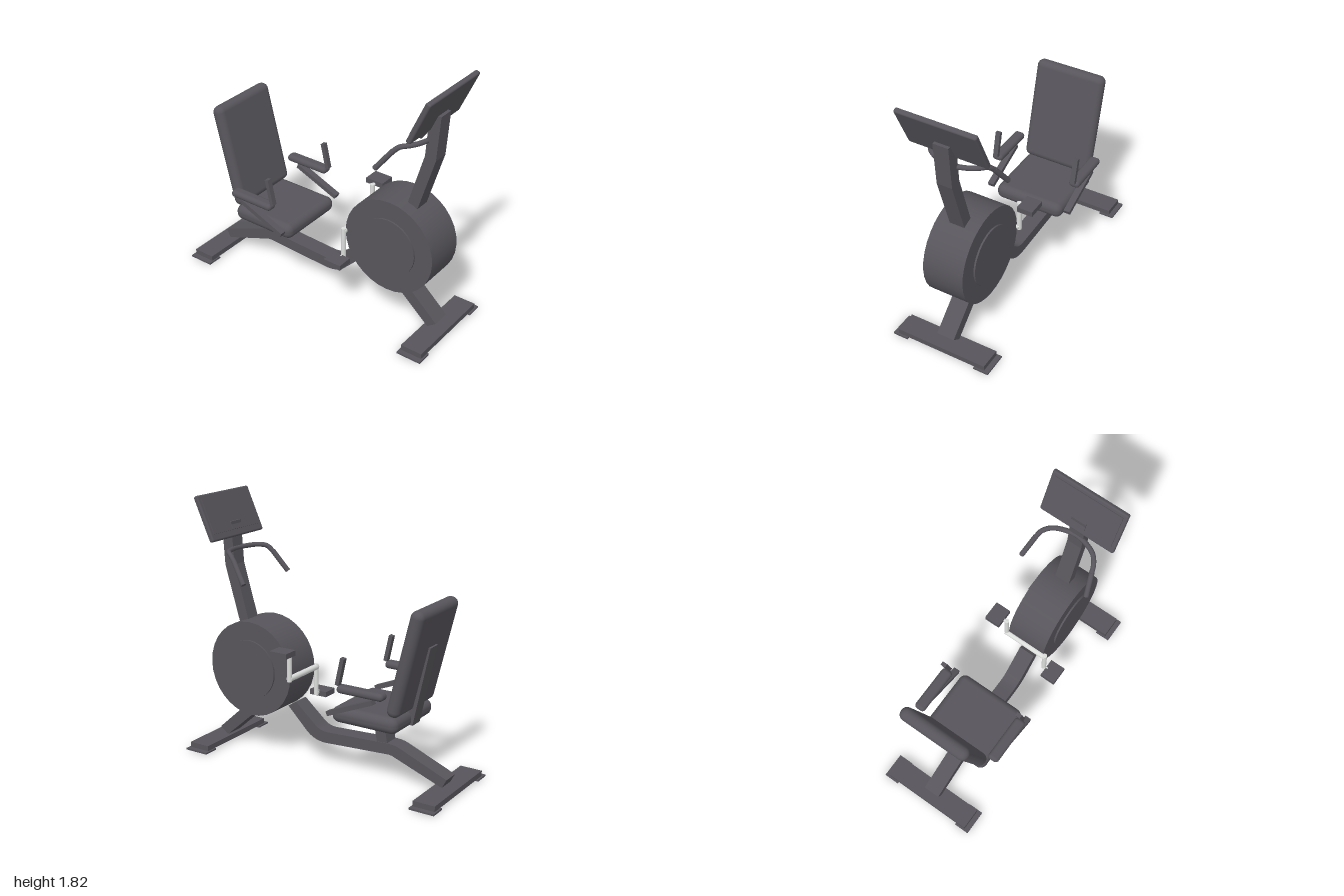
import * as THREE from 'three';
import { RoundedBoxGeometry } from 'three/addons/geometries/RoundedBoxGeometry.js';

export function createModel() {
  const model = new THREE.Group();
  const charcoal = new THREE.MeshStandardMaterial({ color: 0x57555b });
  charcoal.name = 'charcoal';
  const steel = new THREE.MeshStandardMaterial({ color: 0xdcdedc });
  steel.name = 'steel';

  const add = (name, geometry, x = 0, y = 0, z = 0, tilt = 0, material = charcoal) => {
    const mesh = new THREE.Mesh(geometry, material);
    mesh.name = name;
    mesh.position.set(x, y, z);
    mesh.rotation.x = tilt;
    model.add(mesh);
    return mesh;
  };
  const box = (w, h, d) => new THREE.BoxGeometry(w, h, d);

  // Side outline in (z, y), extruded across x; [z, y, cz, cy] is a curve with control point
  const profile = (width, points) => {
    const shape = new THREE.Shape();
    points.forEach(([z, y, cz, cy], i) => {
      if (i === 0) shape.moveTo(z, y);
      else if (cz !== undefined) shape.quadraticCurveTo(cz, cy, z, y);
      else shape.lineTo(z, y);
    });
    const g = new THREE.ExtrudeGeometry(shape, { depth: width, bevelEnabled: false, curveSegments: 8 });
    return g.translate(0, 0, -width / 2).rotateY(-Math.PI / 2);
  };

  // Closed round rod between two points
  const rod = (name, a, b, radius, material) => {
    const dir = b.clone().sub(a);
    const mesh = add(name, new THREE.CylinderGeometry(radius, radius, dir.length(), 16), 0, 0, 0, 0, material);
    mesh.position.copy(a).add(b).multiplyScalar(0.5);
    mesh.quaternion.setFromUnitVectors(new THREE.Vector3(0, 1, 0), dir.normalize());
  };
  const v = (x, y, z) => new THREE.Vector3(x, y, z);

  // Floor bars with foot pads
  for (const s of [1, -1]) {
    const end = s > 0 ? 'front' : 'rear';
    add(end + 'FloorBar', box(0.67, 0.038, 0.158), 0, 0.031, s * 0.909);
    for (const side of [1, -1]) add(end + 'FootPad', box(0.11, 0.012, 0.18), side * 0.315, 0.006, s * 0.91);
  }

  // Frame: front leg, curved main beam, seat post, console upright
  add('frontLeg', profile(0.13, [[0.86, 0.048], [0.925, 0.096], [0.65, 0.345], [0.55, 0.32]]));
  add('mainBeam', profile(0.12, [
    [0.32, 0.375], [0.166, 0.222], [0.016, 0.164, 0.106, 0.166], [-0.476, 0.19],
    [-0.53, 0.182, -0.505, 0.192], [-0.892, 0.048], [-0.925, 0.11], [-0.58, 0.25],
    [-0.476, 0.267, -0.53, 0.27], [-0.02, 0.246], [0.1, 0.283, 0.055, 0.24], [0.257, 0.417],
  ]));
  add('seatPost', profile(0.11, [[-0.41, 0.19], [-0.365, 0.43], [-0.445, 0.43], [-0.49, 0.19]]));
  add('consoleUpright', profile(0.11, [
    [0.733, 0.92], [0.85, 1.315], [0.872, 1.626], [0.79, 1.626], [0.77, 1.326], [0.64, 0.88], [0.715, 0.86],
  ]));

  // Flywheel housing with raised side discs
  add('flywheelHousing', new THREE.CylinderGeometry(0.34, 0.34, 0.296, 32).rotateZ(Math.PI / 2), 0, 0.62, 0.58);
  for (const s of [1, -1]) {
    add('flywheelSideDisc', new THREE.CylinderGeometry(0.21, 0.21, 0.02, 32).rotateZ(Math.PI / 2), s * 0.15, 0.62, 0.58);
  }

  // Pedal crank: left arm up, right arm down
  const crankY = 0.615, crankZ = 0.235;
  rod('crankAxle', v(-0.17, crankY, crankZ), v(0.17, crankY, crankZ), 0.021, steel);
  for (const s of [1, -1]) {
    const x = s * 0.163, y = crankY + s * 0.195;
    rod('crankArm', v(x, crankY - s * 0.02, crankZ), v(x, y + s * 0.01, crankZ), 0.017, steel);
    rod('pedalSpindle', v(x, y, crankZ), v(s * 0.2, y, crankZ), 0.012, steel);
    add('pedal', box(0.113, 0.038, 0.135), s * 0.24, crankY + s * 0.203, crankZ);
  }

  // Seat, backrest and its support
  add('seatCushion', new RoundedBoxGeometry(0.52, 0.112, 0.495, 5, 0.05), 0, 0.469, -0.403);
  add('backrest', new RoundedBoxGeometry(0.525, 0.745, 0.094, 5, 0.045), 0, 0.893, -0.697, -0.243);
  add('backrestSupport', box(0.1, 0.56, 0.05), 0, 0.705, -0.695, -0.215);

  // Armrests with grips and diagonal braces
  for (const s of [1, -1]) {
    const x = s * 0.308;
    add('armrest', new RoundedBoxGeometry(0.08, 0.052, 0.345, 4, 0.025), x, 0.686, -0.427);
    add('armrestGrip', box(0.036, 0.19, 0.028), x, 0.8, -0.27, -0.218);
    add('armrestBrace', box(0.046, 0.032, 0.37), x, 0.569, -0.345, 0.39);
  }

  // Handlebar: curved bar plus straight grips
  const half = [v(0.1, 1.435, 0.765), v(0.165, 1.435, 0.73), v(0.205, 1.425, 0.68), v(0.222, 1.385, 0.637)];
  const mirrored = half.map((p) => v(-p.x, p.y, p.z)).reverse();
  const bar = new THREE.CatmullRomCurve3([...mirrored, v(0, 1.435, 0.785), ...half]);
  add('handlebar', new THREE.TubeGeometry(bar, 48, 0.017, 12));
  for (const s of [1, -1]) rod('handlebarGrip', v(s * 0.221, 1.39, 0.641), v(s * 0.258, 1.25, 0.537), 0.018);

  // Console with its screen facing the seat
  const consoleGroup = new THREE.Group();
  consoleGroup.name = 'console';
  consoleGroup.position.set(0, 1.668, 0.848);
  consoleGroup.rotation.x = 0.422;
  consoleGroup.add(
    add('consoleBody', new RoundedBoxGeometry(0.565, 0.33, 0.036, 3, 0.012)),
    add('screen', box(0.51, 0.255, 0.008), 0, 0.01, -0.021),
    add('screenTab', box(0.11, 0.035, 0.014), 0, -0.1, -0.025),
  );
  model.add(consoleGroup);

  return model;
}
